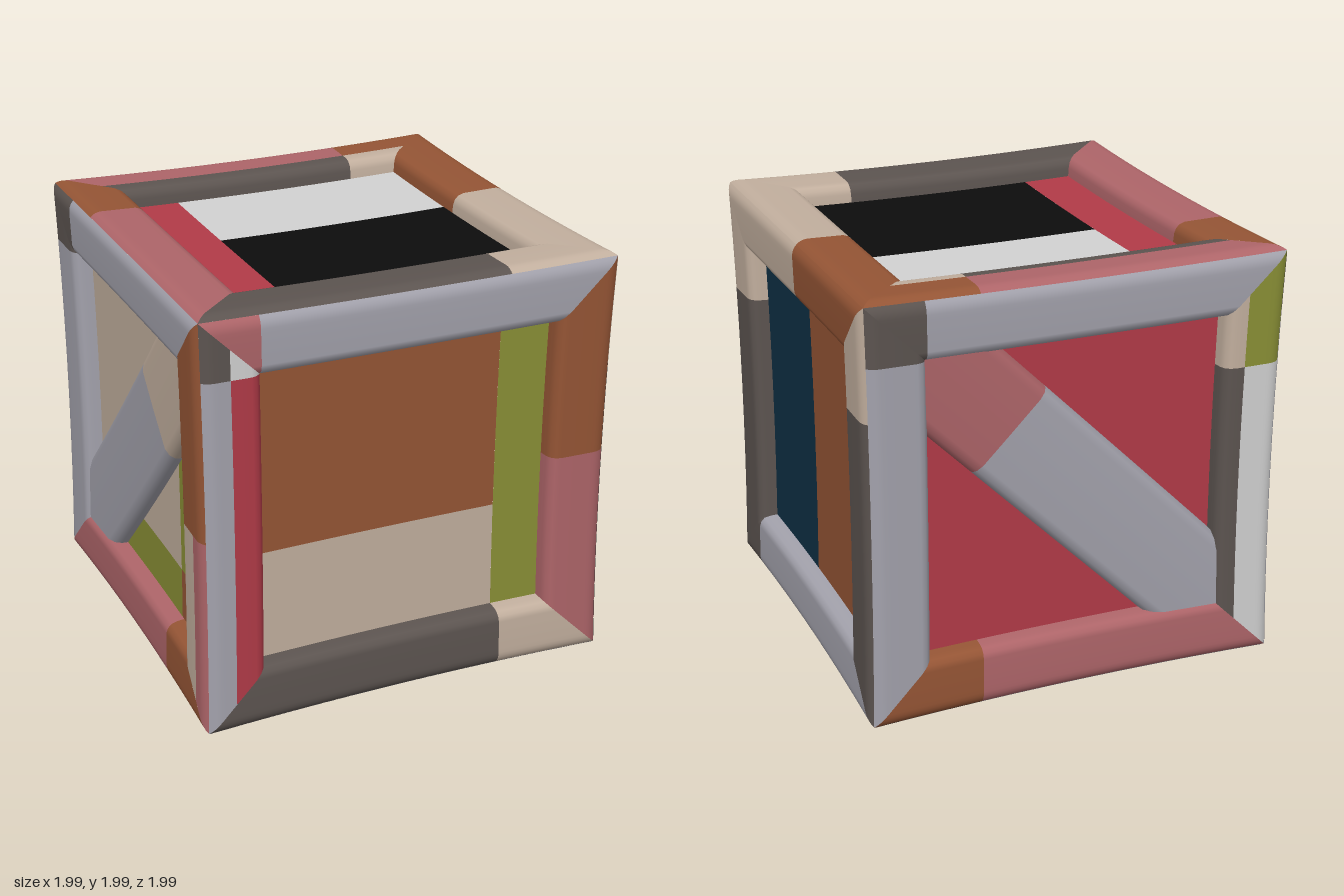
import * as THREE from 'three';

const COLORS = {
  lavender: 0xa3a2ac, brown: 0x955535, beige: 0xc2af9e, pink: 0xae6569, charcoal: 0x5c5450,
  red: 0xb23b48, olive: 0x8a9036, navy: 0x0f3045, white: 0xd2d2d2, black: 0x0d0d0d,
};

const HALF = 1, ROUND = 0.08, INNER = 0.7, PANEL = 0.91;
const S = Math.SQRT1_2;

// Frame board cross-section: [distance from face centre, height], outer edge to inner wall
const BOARD = [];
for (let i = 0; i <= 4; i++) {
  const a = Math.PI / 4 * (1 + i / 4);
  BOARD.push([HALF - ROUND + ROUND * Math.cos(a), HALF - ROUND + ROUND * Math.sin(a)]);
}
BOARD.push([0.9, 1], [0.755, 1], [0.73, 0.992], [0.712, 0.975], [0.704, 0.95], [INNER, PANEL - 0.01]);

const BRACE = [[0.25, 0.9], [0.245, 0.94], [0.225, 0.965], [0.19, 0.978], [0, 0.98],
  [-0.19, 0.978], [-0.225, 0.965], [-0.245, 0.94], [-0.25, 0.9]];

// Axes of each board in the face plane: across (outwards) and along
const SIDES = {
  top: [[0, 1], [1, 0]], bottom: [[0, -1], [1, 0]], left: [[-1, 0], [0, 1]], right: [[1, 0], [0, 1]],
};

// Boards: [side, start, end, colour, inner limit, outer limit]; panels: [u0, u1, v0, v1, colour]
const FACES = {
  front: {
    u: [1, 0, 0], v: [0, 1, 0], n: [0, 0, 1],
    boards: [
      ['top', -1, -0.71, 'pink'], ['top', -0.71, 1, 'lavender'],
      ['right', 0.04, 1, 'brown'], ['right', -1, 0.04, 'pink'],
      ['bottom', -1, 0.46, 'charcoal'], ['bottom', 0.46, 1, 'beige'],
      ['left', -1, 0.71, 'lavender', 0.85], ['left', -1, 0.71, 'red', 0, 0.85],
      ['left', 0.71, 1, 'charcoal', 0.85], ['left', 0.71, 1, 'white', 0, 0.85],
    ],
    panels: [[-INNER, 0.46, -0.18, INNER, 'brown'], [-INNER, 0.46, -INNER, -0.18, 'beige'],
      [0.46, INNER, -INNER, INNER, 'olive']],
  },
  right: {
    u: [0, 0, -1], v: [0, 1, 0], n: [1, 0, 0],
    boards: [
      ['top', -1, 0.04, 'beige'], ['top', 0.04, 1, 'brown'],
      ['right', 0.46, 1, 'beige'], ['right', -1, 0.46, 'charcoal'],
      ['left', 0.46, 1, 'beige'], ['left', -1, 0.46, 'charcoal'],
      ['bottom', -1, -0.71, 'charcoal'], ['bottom', -0.71, 1, 'lavender'],
    ],
    panels: [[-INNER, -0.04, -INNER, INNER, 'navy'], [-0.04, INNER, -INNER, INNER, 'brown']],
  },
  top: {
    u: [1, 0, 0], v: [0, 0, -1], n: [0, 1, 0],
    boards: [
      ['top', -1, 0.46, 'pink', 0.8], ['top', -1, 0.46, 'charcoal', 0, 0.8],
      ['top', 0.46, 1, 'brown', 0.8], ['top', 0.46, 1, 'beige', 0, 0.8],
      ['right', 0.04, 1, 'brown'], ['right', -1, 0.04, 'beige'],
      ['bottom', -1, 0.46, 'charcoal'], ['bottom', 0.46, 1, 'beige'],
      ['left', 0.46, 1, 'brown'], ['left', -1, 0.46, 'pink'],
    ],
    panels: [[-INNER, -0.46, -INNER, INNER, 'red'], [-0.46, INNER, 0.13, INNER, 'white'],
      [-0.46, INNER, -INNER, 0.13, 'black']],
  },
  back: {
    u: [-1, 0, 0], v: [0, 1, 0], n: [0, 0, -1],
    boards: [
      ['top', -1, -0.71, 'charcoal'], ['top', -0.71, 1, 'lavender'],
      ['left', 0.71, 1, 'charcoal'], ['left', -1, 0.71, 'lavender'],
      ['bottom', -1, -0.46, 'brown'], ['bottom', -0.46, 1, 'pink'],
      ['right', 0.46, 1, 'olive', 0.8], ['right', 0.46, 1, 'beige', 0, 0.8],
      ['right', -1, 0.46, 'white', 0.8], ['right', -1, 0.46, 'charcoal', 0, 0.8],
    ],
    panels: [[-INNER, INNER, -INNER, INNER, 'red']],
    brace: { axes: [[S, S], [S, -S]], parts: [[-2, -0.45, 'pink'], [-0.45, 2, 'lavender']] },
  },
  left: {
    u: [0, 0, 1], v: [0, 1, 0], n: [-1, 0, 0],
    boards: [
      ['top', -1, -0.71, 'charcoal'], ['top', -0.71, 1, 'lavender'],
      ['left', 0.71, 1, 'charcoal'], ['left', -1, 0.71, 'lavender'],
      ['bottom', -1, 0.46, 'pink'], ['bottom', 0.46, 1, 'brown'],
      ['right', -0.04, 1, 'brown'],
      ['right', -1, -0.04, 'pink', 0.87], ['right', -1, -0.04, 'beige', 0, 0.87],
    ],
    panels: [[-INNER, 0.44, -0.45, INNER, 'beige'], [-INNER, 0.44, -INNER, -0.45, 'olive'],
      [0.44, INNER, -0.45, INNER, 'olive'], [0.44, INNER, -INNER, -0.45, 'brown']],
    brace: { axes: [[-S, S], [S, S]], parts: [[-2, 0.45, 'lavender'], [0.45, 2, 'beige']] },
  },
  bottom: {
    u: [1, 0, 0], v: [0, 0, 1], n: [0, -1, 0],
    boards: [
      ['top', -1, 1, 'lavender'],
      ['right', 0.04, 1, 'brown'], ['right', -1, 0.04, 'charcoal'],
      ['bottom', -1, 0.46, 'lavender'], ['bottom', 0.46, 1, 'charcoal'],
      ['left', 0.1, 1, 'brown'], ['left', -1, 0.1, 'beige'],
    ],
    panels: [[-INNER, INNER, -INNER, INNER, 'olive']],
  },
};

// Slight inward bow of every side, so the corners stand proud
function bow(p) {
  const [x, y, z] = [p.x * p.x, p.y * p.y, p.z * p.z];
  const f = (a, b) => 0.968 + 0.015 * (a + b);
  return p.set(p.x * f(y, z), p.y * f(x, z), p.z * f(x, y));
}

// Sweep a cross-section of [w, height] along t, trimming each row to +-limit(w)
function sweep(face, [W, T], rows, t0, t1, limit) {
  const [u, v, n] = [face.u, face.v, face.n].map((a) => new THREE.Vector3(...a));
  const at = (w, t, d) => new THREE.Vector3()
    .addScaledVector(u, w * W[0] + t * T[0])
    .addScaledVector(v, w * W[1] + t * T[1])
    .addScaledVector(n, d);
  const steps = 8, pos = [], nor = [], idx = [];
  const flip = W[0] * T[1] - W[1] * T[0] > 0;
  rows.forEach(([w, d], i) => {
    const a = rows[Math.max(i - 1, 0)], b = rows[Math.min(i + 1, rows.length - 1)];
    const normal = at(b[1] - a[1], 0, a[0] - b[0]).normalize();
    const m = limit(w), lo = Math.min(Math.max(t0, -m), m), hi = Math.max(Math.min(t1, m), -m);
    for (let j = 0; j <= steps; j++) {
      pos.push(...bow(at(w, lo + (hi - lo) * j / steps, d)).toArray());
      nor.push(...normal.toArray());
      if (i && j) {
        const q = i * (steps + 1) + j, p = q - steps - 1;
        if (flip) idx.push(p - 1, p, q - 1, p, q, q - 1);
        else idx.push(p - 1, q - 1, p, p, q - 1, q);
      }
    }
  });
  const g = new THREE.BufferGeometry();
  g.setAttribute('position', new THREE.Float32BufferAttribute(pos, 3));
  g.setAttribute('normal', new THREE.Float32BufferAttribute(nor, 3));
  g.setIndex(idx);
  return g;
}

// Part of the board cross-section between two distances from the face centre
function boardRows(inner = 0, outer = 2) {
  const rows = BOARD.filter(([r]) => r > inner && r < outer);
  if (outer < 1) rows.unshift([outer, 1]);
  if (inner > 0) rows.push([inner, 1]);
  return rows;
}

export function createModel() {
  const crate = new THREE.Group();
  crate.name = 'crate';
  const mats = {};
  for (const [name, color] of Object.entries(COLORS)) {
    mats[name] = new THREE.MeshStandardMaterial({ color });
    mats[name].name = name;
  }

  for (const [faceName, face] of Object.entries(FACES)) {
    const side = new THREE.Group();
    side.name = faceName + 'Side';
    crate.add(side);
    const add = (name, color, geometry) => {
      const mesh = new THREE.Mesh(geometry, mats[color]);
      mesh.name = name;
      side.add(mesh);
    };

    // Mitred frame boards
    for (const [where, t0, t1, color, inner, outer] of face.boards) {
      add(where + 'Board', color, sweep(face, SIDES[where], boardRows(inner, outer), t0, t1, (w) => w));
    }

    // Recessed panel patches
    for (const [u0, u1, v0, v1, color] of face.panels) {
      const rows = Array.from({ length: 7 }, (_, i) => [v1 + (v0 - v1) * i / 6, PANEL]);
      add('panel', color, sweep(face, SIDES.top, rows, u0, u1, () => 2));
    }

    // Diagonal brace, trimmed to the panel corners
    if (face.brace) {
      for (const [t0, t1, color] of face.brace.parts) {
        add('brace', color, sweep(face, face.brace.axes, BRACE, t0, t1, (w) => 1.03 - Math.abs(w)));
      }
    }
  }

  crate.position.y = 1;
  const model = new THREE.Group();
  model.name = 'model';
  model.add(crate);
  return model;
}
